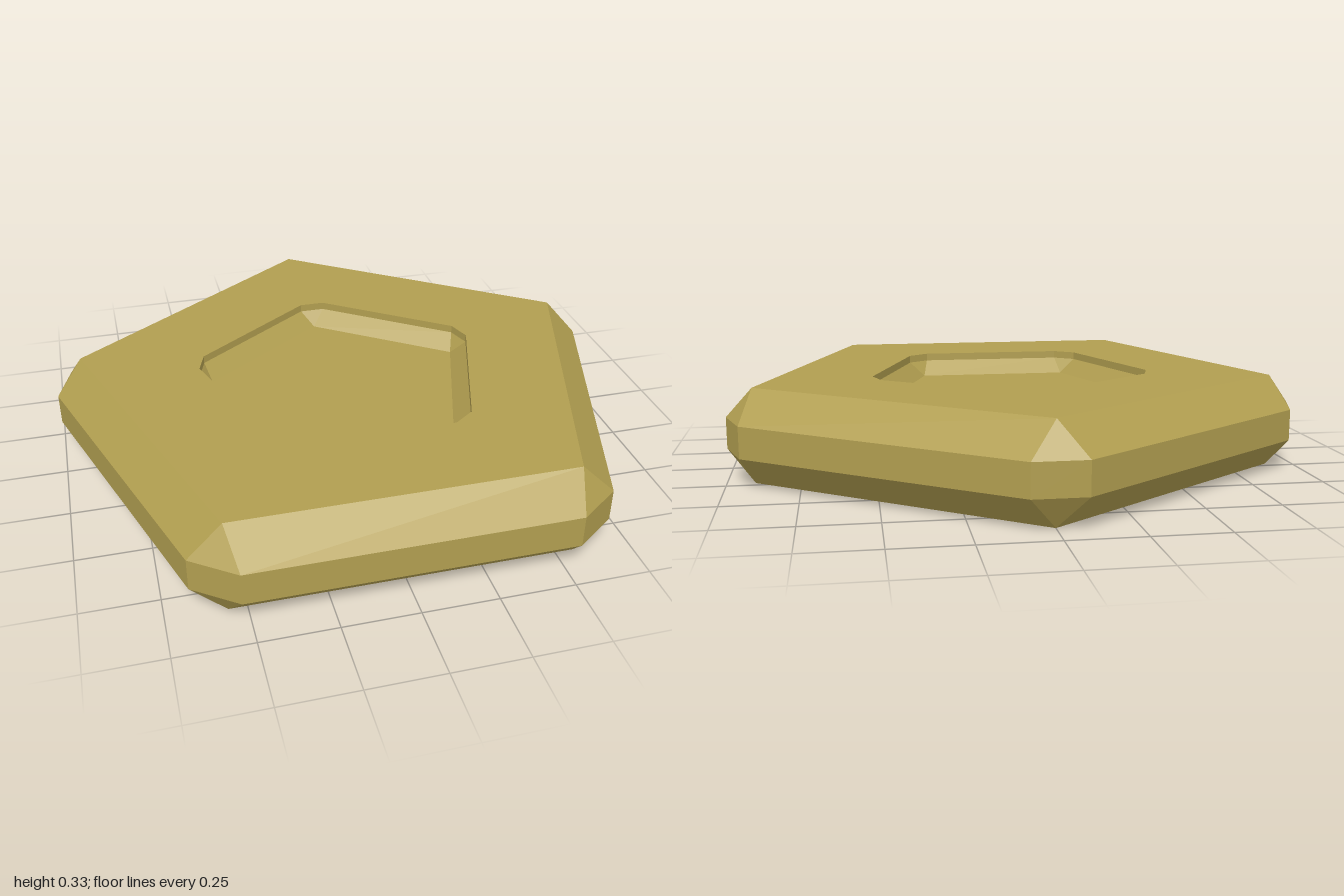
import * as THREE from 'three';

const HEIGHT = 0.327;
const CENTRE_Z = 0.071;
const CORNER_CUT = THREE.MathUtils.degToRad(4.9); // half angle of each cut corner
const SHARP = 0.951; // radius of the sharp-cornered pentagon
const CUT = 1.026; // radius of the cut-cornered pentagon

// Ten points of a pentagon ring; a sharp ring has its points in coincident pairs
function ring(radius, y, cut) {
  const points = [];
  for (let i = 0; i < 5; i++) {
    for (const side of [-1, 1]) {
      const a = (i * Math.PI * 2) / 5 + side * cut;
      points.push(new THREE.Vector3(radius * Math.sin(a), y, CENTRE_Z - radius * Math.cos(a)));
    }
  }
  return points;
}
const sharp = (scale, y) => ring(SHARP * scale, y, 0);
const chamfered = (scale, y) => ring(CUT * scale, y, CORNER_CUT);

// Flat-shaded skin across successive rings, leaving out collapsed triangles
function skin(name, rings, material) {
  const positions = [];
  const add = (a, b, c) => {
    if (new THREE.Triangle(a, b, c).getArea() < 1e-6) return;
    for (const p of [a, b, c]) positions.push(p.x, p.y, p.z);
  };
  for (let r = 0; r < rings.length - 1; r++) {
    const inner = rings[r];
    const outer = rings[r + 1];
    for (let k = 0; k < 10; k++) {
      const n = (k + 1) % 10;
      add(inner[k], outer[n], outer[k]);
      add(inner[k], inner[n], outer[n]);
    }
  }
  const geometry = new THREE.BufferGeometry();
  geometry.setAttribute('position', new THREE.Float32BufferAttribute(positions, 3));
  geometry.computeVertexNormals();
  const mesh = new THREE.Mesh(geometry, material);
  mesh.name = name;
  return mesh;
}

export function createModel() {
  const group = new THREE.Group();
  group.name = 'pentagonTile';
  const gold = new THREE.MeshStandardMaterial({ color: 0xb19e50 });
  gold.name = 'oliveGold';
  gold.flatShading = true;

  // Half-scale recess: floor, sloped border, short upright wall
  const recess = (flip) => {
    const y = (depth) => (flip ? depth : HEIGHT - depth);
    const rings = [
      sharp(0, y(HEIGHT / 4)),
      sharp(0.5, y(HEIGHT / 4)),
      chamfered(0.5, y(HEIGHT / 12)),
      chamfered(0.5, y(0)),
    ];
    return flip ? rings.reverse() : rings;
  };
  group.add(skin('topRecess', recess(false), gold));
  group.add(skin('bottomRecess', recess(true), gold));

  // Flat faces around the recesses
  group.add(skin('topFace', [chamfered(0.5, HEIGHT), sharp(1, HEIGHT)], gold));
  group.add(skin('bottomFace', [sharp(1, 0), chamfered(0.5, 0)], gold));

  // Outer rim: upper bevel, upright side, lower bevel
  group.add(skin('outerRim', [
    sharp(1, HEIGHT),
    chamfered(1, (HEIGHT * 2) / 3),
    chamfered(1, HEIGHT / 3),
    sharp(1, 0),
  ], gold));

  return group;
}
